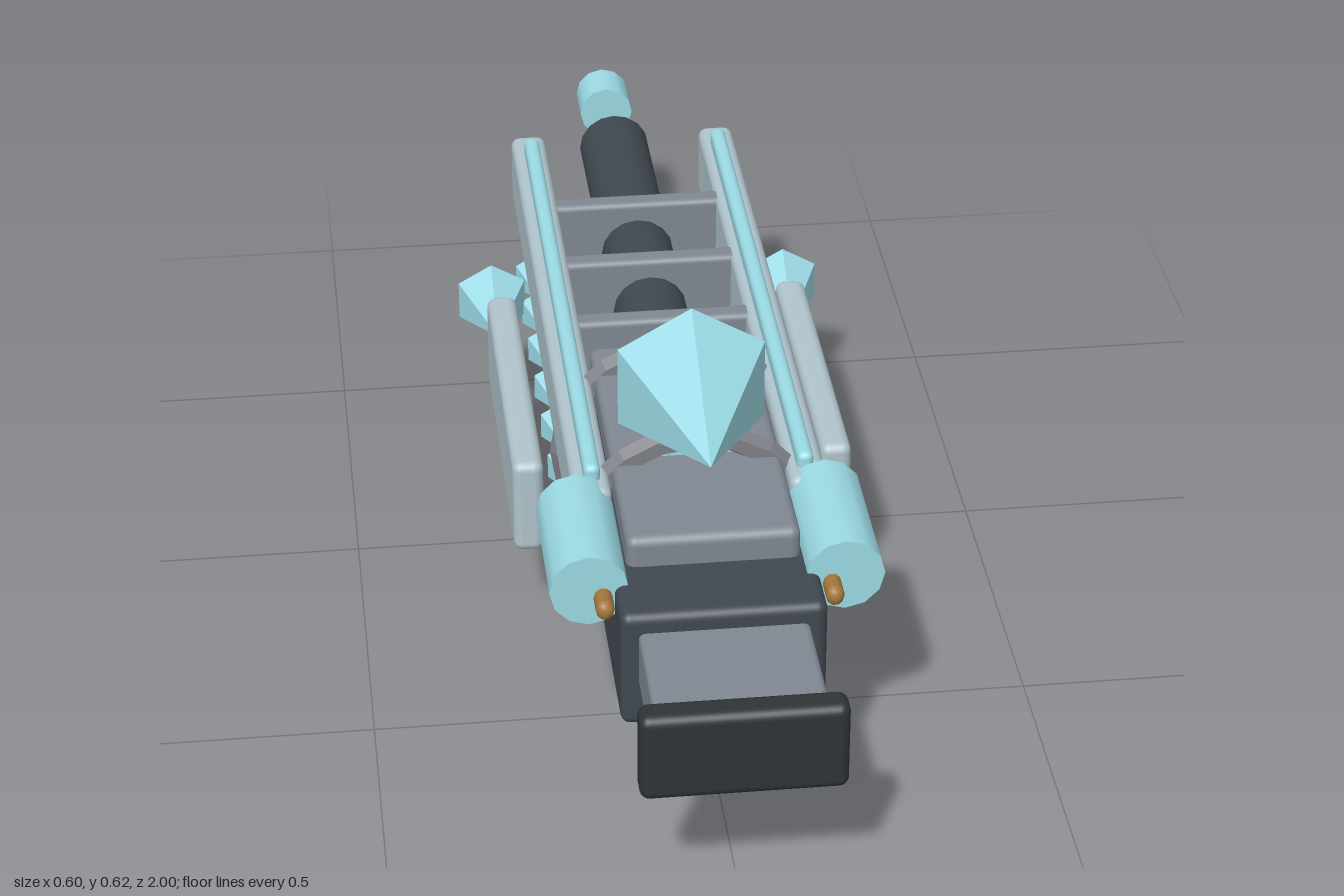
import * as THREE from 'three';
import { RoundedBoxGeometry } from 'three/addons/geometries/RoundedBoxGeometry.js';

const mat = (color, flatShading = false) => new THREE.MeshStandardMaterial({ color, flatShading });

export function createModel() {
  const model = new THREE.Group();
  const black = mat(0x2f3437), dark = mat(0x404850), grey = mat(0x808892);
  const pale = mat(0xb0c4cc), cyan = mat(0x9cdbe6), bronze = mat(0xa5783c);
  const crystalMat = mat(0x9cdbe6, true), ringMat = mat(0x808088, true);

  function add(name, geometry, material, x = 0, y = 0, z = 0) {
    const mesh = new THREE.Mesh(geometry, material);
    mesh.name = name;
    mesh.position.set(x, y, z);
    model.add(mesh);
    return mesh;
  }
  // Rounded box given by its centre x, width and its y and z ranges
  function box(name, material, x, w, y0, y1, z0, z1, r = 0.015) {
    const geometry = new RoundedBoxGeometry(w, y1 - y0, z1 - z0, 3, r);
    return add(name, geometry, material, x, (y0 + y1) / 2, (z0 + z1) / 2);
  }
  // Cylinder lying along z
  function rod(name, material, r, x, y, z0, z1, sides = 12) {
    const geometry = new THREE.CylinderGeometry(r, r, z1 - z0, sides).rotateX(Math.PI / 2);
    return add(name, geometry, material, x, y, (z0 + z1) / 2);
  }
  // Six-sided spike, base at z0 and tip at z1
  function crystal(name, r, x, y, z0, z1) {
    const geometry = new THREE.ConeGeometry(r, z1 - z0, 6).rotateX(Math.PI / 2);
    return add(name, geometry, crystalMat, x, y, (z0 + z1) / 2);
  }

  // Stock and body
  box('buttPad', black, 0, 0.296, 0.205, 0.345, 0.95, 1);
  box('stock', grey, 0, 0.248, 0.235, 0.328, 0.68, 0.955, 0.01);
  box('receiver', dark, 0, 0.3, 0.167, 0.358, 0.2, 0.765);
  box('topCover', grey, 0, 0.256, 0.25, 0.405, 0.08, 0.638);
  box('grip', black, 0, 0.083, 0, 0.18, 0.53, 0.62);
  box('magazine', cyan, 0, 0.195, 0.025, 0.162, 0.36, 0.556, 0.018);
  box('lowerBlock', dark, 0, 0.14, 0.068, 0.18, 0.15, 0.275);

  // Glowing core held between two rings
  rod('core', cyan, 0.156, 0, 0.2625, 0.17, 0.415, 16);
  for (const z of [0.155, 0.418]) {
    add('coreRing', new THREE.TorusGeometry(0.177, 0.021, 6, 20), ringMat, 0, 0.2625, z);
  }
  crystal('sightCrystal', 0.128, 0, 0.494, 0.355, 0.595);

  // Barrel and separate muzzle piece
  rod('barrel', dark, 0.06, 0, 0.299, -0.785, 0.21, 16);
  rod('muzzle', cyan, 0.046, 0, 0.297, -1, -0.92, 12);

  // Cross bars joining the rails
  for (const z of [-0.42, -0.225, -0.033]) {
    box('crossBar', grey, 0, 0.3, 0.285, 0.39, z - 0.019, z + 0.019, 0.01);
  }

  // Mirrored side parts
  for (const s of [-1, 1]) {
    box('rail', pale, s * 0.162, 0.058, 0.276, 0.396, -0.66, 0.49);
    box('railStrip', cyan, s * 0.16, 0.025, 0.385, 0.421, -0.605, 0.46, 0.011);
    rod('sideCanister', cyan, 0.058, s * 0.187, 0.352, 0.46, 0.683, 12);
    const pin = add('canisterPin', new THREE.CapsuleGeometry(0.014, 0.05, 4, 10).rotateX(Math.PI / 2),
      bronze, s * 0.167, 0.339, 0.687);
    pin.scale.y = 1.2;
    box('sidePlate', pale, s * 0.24, 0.048, 0.142, 0.302, -0.277, 0.256);
    crystal('plateCrystal', 0.064, s * 0.247, 0.223, -0.403, -0.275);
    // Row of small spikes under the rail
    for (let i = 0; i < 7; i++) {
      const z = -0.525 + i * 0.1225;
      crystal('railCrystal', 0.042, s * 0.16, 0.193, z, z + 0.09);
    }
  }
  return model;
}
